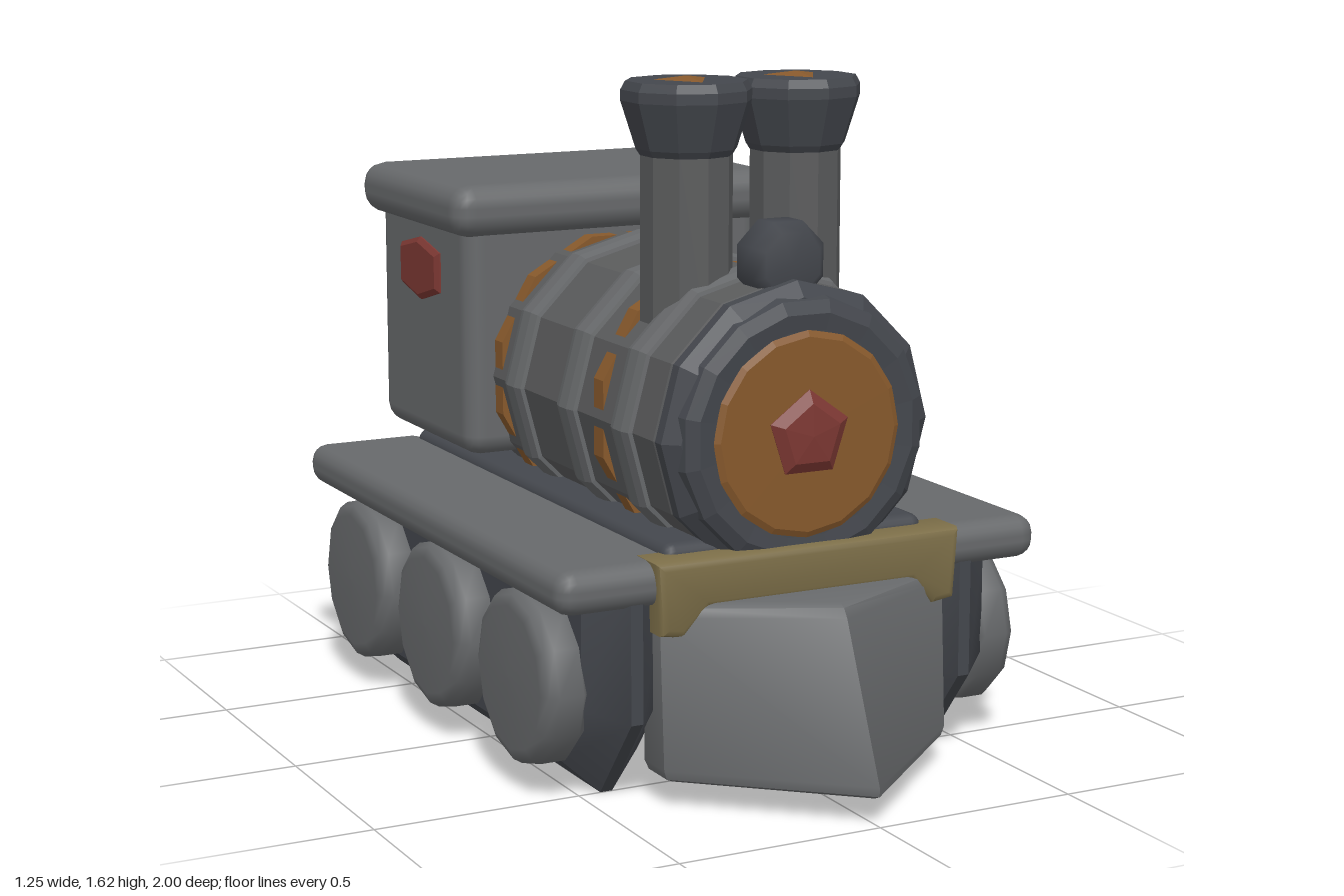
import * as THREE from 'three';
import { toCreasedNormals } from 'three/addons/utils/BufferGeometryUtils.js';
import { RoundedBoxGeometry } from 'three/addons/geometries/RoundedBoxGeometry.js';

const material = (color, flatShading = false) => new THREE.MeshStandardMaterial({ color, flatShading });
const GREY = material(0x67696b), DARK = material(0x44474d);
const GREY_FLAT = material(0x5a5b5c, true), BAND = material(0x67696b, true), DARK_FLAT = material(0x44474d, true);
const ORANGE = material(0x87592c, true), RED = material(0x7d3833, true), BRASS = material(0x7c6e48);

const BOILER_Y = 0.825;

export function createModel() {
  const model = new THREE.Group();

  const add = (name, geometry, mat, x = 0, y = 0, z = 0) => {
    const mesh = new THREE.Mesh(geometry, mat);
    mesh.name = name;
    mesh.position.set(x, y, z);
    model.add(mesh);
    return mesh;
  };

  // Soft-edged box given by its limits
  const box = (name, mat, [x0, x1], [y0, y1], [z0, z1], r) =>
    add(name, new RoundedBoxGeometry(x1 - x0, y1 - y0, z1 - z0, 2, r), mat,
      (x0 + x1) / 2, (y0 + y1) / 2, (z0 + z1) / 2);

  const lathe = (points, sides) =>
    new THREE.LatheGeometry(points.map(([r, h]) => new THREE.Vector2(r, h)), sides);

  // Turned shape lying along the boiler axis; heights are z positions
  const boilerPart = (name, mat, points, sides = 12, turn = 0) =>
    add(name, lathe(points, sides).rotateY(turn).rotateX(Math.PI / 2), mat, 0, BOILER_Y, 0);

  const outline = points => new THREE.Shape(points.map(([a, b]) => new THREE.Vector2(a, b)));

  // Side profile given as (z, y), extruded along x and centred on x = 0
  const sideExtrude = (points, depth, bevelThickness, bevelSize) =>
    new THREE.ExtrudeGeometry(outline(points), {
      depth, bevelThickness, bevelSize, bevelSegments: 1,
    }).translate(0, 0, -depth / 2).rotateY(-Math.PI / 2);

  // Chassis
  box('chassis', DARK, [-0.34, 0.34], [0.32, 0.595], [-0.84, 0.62], 0.03);

  // Boiler barrel, raised bands and inlaid orange hoops
  boilerPart('boiler', GREY_FLAT, [[0, -0.4], [0.345, -0.4], [0.345, 0.57], [0.32, 0.62], [0, 0.62]]);
  for (const z of [-0.17, 0.13, 0.42]) {
    boilerPart('boilerBand', BAND, [
      [0.33, z - 0.05], [0.355, z - 0.045], [0.362, z - 0.02],
      [0.362, z + 0.02], [0.355, z + 0.045], [0.33, z + 0.05],
    ]);
  }
  for (const z of [-0.29, 0.28]) {
    boilerPart('boilerHoop', ORANGE, [[0.3, z - 0.025], [0.351, z - 0.025], [0.351, z + 0.025], [0.3, z + 0.025]],
      12, Math.PI / 12);
  }

  // Smokebox front: two offset rims, orange door and red hub
  boilerPart('smokeboxRim', DARK_FLAT, [[0.3, 0.57], [0.345, 0.58], [0.345, 0.61], [0.31, 0.64], [0, 0.64]]);
  boilerPart('smokeboxRing', DARK_FLAT, [[0.29, 0.6], [0.318, 0.62], [0.31, 0.65], [0.28, 0.665], [0.24, 0.66], [0, 0.65]],
    16, Math.PI / 16);
  boilerPart('smokeboxDoor', ORANGE, [[0.24, 0.62], [0.24, 0.66], [0.225, 0.668], [0, 0.668]], 16);
  boilerPart('doorHub', RED, [[0.1, 0.64], [0.105, 0.67], [0.075, 0.687], [0, 0.692]], 5, Math.PI);

  // Lamp on top of the smokebox
  add('lamp', lathe([[0, -0.06], [0.075, -0.06], [0.1, -0.035], [0.1, 0.035], [0.075, 0.06], [0, 0.06]], 8)
    .rotateY(Math.PI / 8).rotateX(Math.PI / 2), DARK, 0, 1.205, 0.53);

  // Twin chimneys with flared tops
  for (const s of [1, -1]) {
    const x = s * 0.143, z = 0.343;
    add('chimneyPipe', lathe([[0, 1.0], [0.108, 1.0], [0.108, 1.45], [0, 1.45]], 10), GREY_FLAT, x, 0, z);
    add('chimneyFlare', lathe([
      [0, 1.43], [0.105, 1.43], [0.118, 1.45], [0.153, 1.56], [0.153, 1.585], [0.142, 1.605], [0, 1.605],
    ], 10), DARK_FLAT, x, 0, z);
    add('chimneyEmber', new THREE.ConeGeometry(0.11, 0.014, 3), ORANGE, x, 1.608, z);
  }

  // Cab with roof, rear box and side windows
  box('cab', GREY, [-0.412, 0.412], [0.62, 1.24], [-0.885, -0.31], 0.05);
  box('cabRoof', GREY, [-0.455, 0.455], [1.175, 1.305], [-0.925, -0.27], 0.055);
  box('rearBox', DARK, [-0.23, 0.23], [0.64, 1.01], [-1.0, -0.8], 0.05);
  for (const s of [1, -1]) {
    add('cabWindow', sideExtrude([
      [-0.49, 1.105], [-0.49, 1.025], [-0.6, 0.995], [-0.71, 1.02], [-0.71, 1.105], [-0.6, 1.13],
    ], 0.02, 0.01, 0.013), RED, s * 0.406, 0, 0);
  }

  // Running boards, keel-shaped wheel housings and wheels on each side
  const housing = sideExtrude([
    [-0.79, 0.48], [-0.79, 0.23], [-0.68, 0.08], [0.46, 0.08], [0.58, 0.23], [0.58, 0.48],
  ], 0.03, 0.085, 0.08);
  const smoothHousing = toCreasedNormals(housing, 0.6);
  const wheel = lathe([
    [0, -0.05], [0.19, -0.05], [0.208, -0.03], [0.208, 0.03], [0.195, 0.052], [0.17, 0.062], [0, 0.064],
  ], 12);
  wheel.rotateZ(-Math.PI / 2);
  for (const s of [1, -1]) {
    const inner = s * 0.3, outer = s * 0.625;
    box('runningBoard', GREY, [Math.min(inner, outer), Math.max(inner, outer)], [0.468, 0.572], [-0.895, 0.675], 0.045);
    add('wheelHousing', smoothHousing, DARK, s * 0.43, 0, 0);
    for (const z of [0.39, -0.105, -0.595]) {
      const mesh = add('wheel', wheel, GREY, s * 0.561, 0.268, z);
      if (s < 0) mesh.rotation.y = Math.PI;
    }
  }

  // Brass buffer beam with drooping ends
  add('bufferBeam', toCreasedNormals(new THREE.ExtrudeGeometry(outline([
    [-0.375, 0.555], [-0.365, 0.42], [-0.33, 0.415], [-0.27, 0.475],
    [0.27, 0.475], [0.33, 0.415], [0.365, 0.42], [0.375, 0.555],
  ]), { depth: 0.09, bevelThickness: 0.018, bevelSize: 0.018, bevelSegments: 2 }), 0.8), BRASS, 0, 0, 0.585);

  // Pointed plough: a wedge plan, with the nose drawn back toward the top
  const plough = new THREE.ExtrudeGeometry(outline([
    [-0.345, -0.6], [-0.345, -0.665], [0, -0.975], [0.345, -0.665], [0.345, -0.6],
  ]), { depth: 0.35, bevelThickness: 0.03, bevelSize: 0.025, bevelSegments: 2 });
  plough.rotateX(-Math.PI / 2).translate(0, 0.09, 0);
  const p = plough.attributes.position;
  for (let i = 0; i < p.count; i++) {
    const t = (p.getY(i) - 0.06) / 0.41;
    if (p.getZ(i) > 0.62) p.setZ(i, 0.62 + (p.getZ(i) - 0.62) * (1 - 0.45 * t));
  }
  add('plough', toCreasedNormals(plough, 0.7), GREY);

  return model;
}
